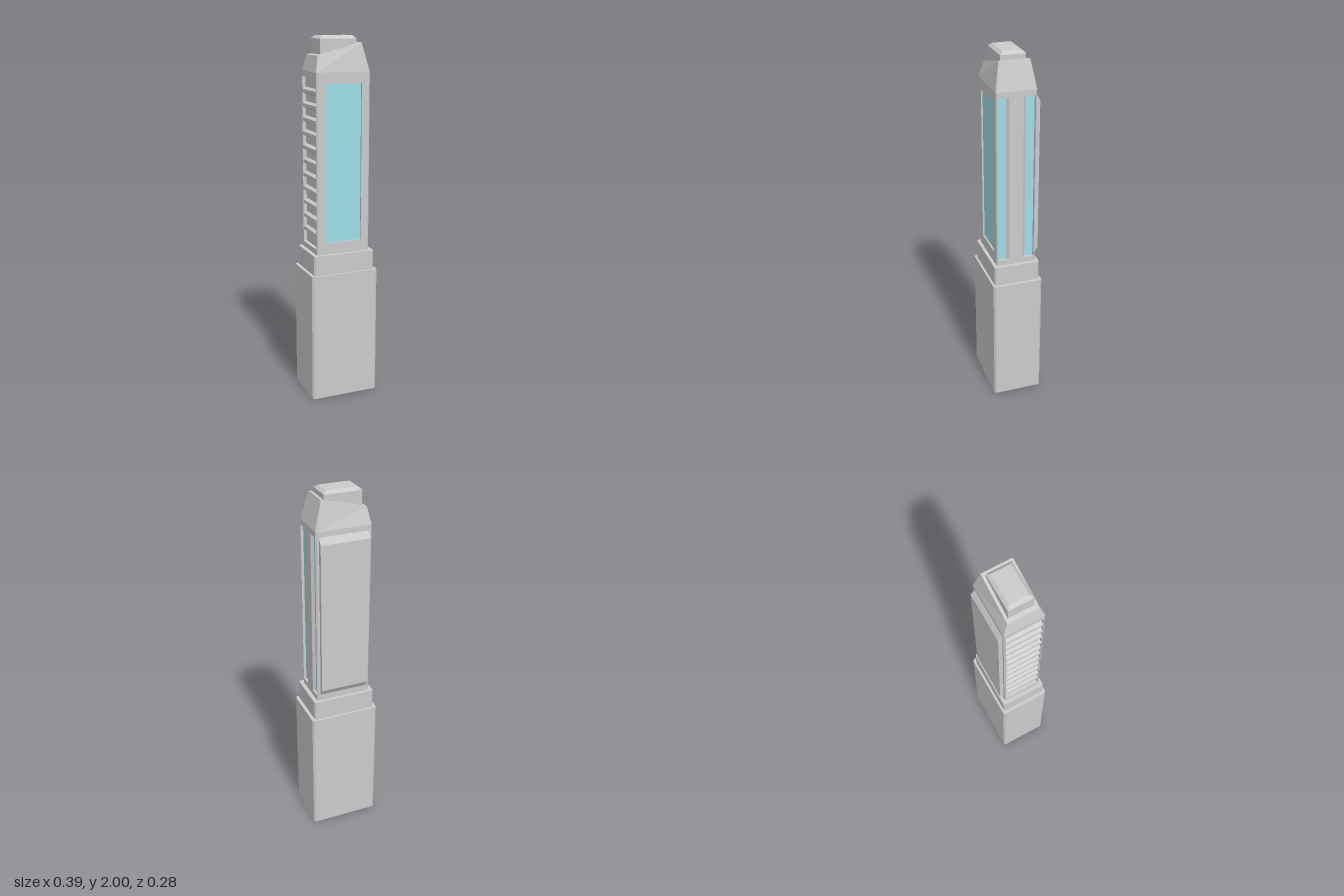
import * as THREE from 'three';

const grey = new THREE.MeshStandardMaterial({ color: 0xcccccc, flatShading: true, side: THREE.DoubleSide });
const glass = new THREE.MeshStandardMaterial({ color: 0x9edee8, flatShading: true, side: THREE.DoubleSide });

// Rectangle with chamfered corners, counter-clockwise seen from above; y is a number or a rule of x.
function ring(x0, x1, z0, z1, c, y) {
  const pts = [
    [x0, z1 - c], [x0 + c, z1], [x1 - c, z1], [x1, z1 - c],
    [x1, z0 + c], [x1 - c, z0], [x0 + c, z0], [x0, z0 + c],
  ];
  return pts.map(([x, z]) => new THREE.Vector3(x, typeof y === 'function' ? y(x) : y, z));
}

// Walls between successive rings, with a lid on the last one.
function loft(rings) {
  const out = [];
  const tri = (...v) => v.forEach((p) => out.push(p.x, p.y, p.z));
  for (let r = 0; r < rings.length - 1; r++) {
    const a = rings[r], b = rings[r + 1], n = a.length;
    for (let i = 0; i < n; i++) {
      const j = (i + 1) % n;
      tri(a[i], a[j], b[j]);
      tri(a[i], b[j], b[i]);
    }
  }
  const top = rings[rings.length - 1];
  for (let i = 1; i < top.length - 1; i++) tri(top[0], top[i], top[i + 1]);
  const g = new THREE.BufferGeometry();
  g.setAttribute('position', new THREE.Float32BufferAttribute(out, 3));
  g.computeVertexNormals();
  return g;
}

function extrude(points, depth) {
  const shape = new THREE.Shape(points.map(([x, y]) => new THREE.Vector2(x, y)));
  return new THREE.ExtrudeGeometry(shape, { depth, bevelEnabled: false });
}

export function createModel() {
  const model = new THREE.Group();
  const add = (name, geometry, material = grey) => {
    const mesh = new THREE.Mesh(geometry, material);
    mesh.name = name;
    model.add(mesh);
    return mesh;
  };
  const block = (name, hx, hz, c, y0, y1) =>
    add(name, loft([ring(-hx, hx, -hz, hz, c, y0), ring(-hx, hx, -hz, hz, c, y1)]));

  // Stepped base, open underneath
  block('base', 0.194, 0.14, 0.01, 0, 0.725);
  block('collar', 0.176, 0.128, 0.009, 0.725, 0.835);

  // Shaft: plain bands below and above a section with recesses
  const X = 0.153, Z = 0.11, C = 0.007, low = 0.865, high = 1.785;
  block('lowerBand', X, Z, C, 0.835, low);
  block('upperBand', X, Z, C, high, 1.815);

  const d = 0.015, f = 0.01;
  const section = [
    [-X + C, Z], [-0.104, Z], [-0.104, Z - f], [0.104, Z - f], [0.104, Z], [X - C, Z],
    [X, Z - C], [X, 0.102], [X - d, 0.1], [X - d, 0.053], [X, 0.038],
    [X, -0.038], [X - d, -0.053], [X - d, -0.1], [X, -0.102], [X, -Z + C],
    [X - C, -Z], [-X + C, -Z], [-X, -Z + C],
    [-X, -0.1], [-X + 0.02, -0.1], [-X + 0.02, 0.1], [-X, 0.1], [-X, Z - C],
  ];
  add('shaft', extrude(section.map(([x, z]) => [x, -z]), high - low).rotateX(-Math.PI / 2).translate(0, low, 0));

  // Front window, shorter than the side recesses
  for (const [y0, y1] of [[low, 0.9], [1.755, high]]) {
    add('frontWindowFrame', new THREE.BoxGeometry(0.208, y1 - y0, f)).position.set(0, (y0 + y1) / 2, Z - f / 2);
  }
  const mid = (low + high) / 2;
  add('frontWindow', new THREE.PlaneGeometry(0.208, 0.855), glass).position.set(0, 1.3275, Z - f + 0.001);

  // Two tall windows on the left side
  for (const s of [-1, 1]) {
    const pane = add('leftWindow', new THREE.PlaneGeometry(0.047, high - low), glass);
    pane.rotation.y = Math.PI / 2;
    pane.position.set(X - d + 0.001, mid, s * 0.0765);
  }

  // Right side: full window crossed by sloped floor ribs
  const wide = add('rightWindow', new THREE.PlaneGeometry(0.2, high - low), glass);
  wide.rotation.y = -Math.PI / 2;
  wide.position.set(-X + 0.021, mid, 0);
  const rows = 12, pitch = (high - low) / rows;
  const rib = extrude([[-X + 0.02, -0.02], [-X + 0.02, 0.02], [-X + 0.002, 0.009], [-X + 0.002, -0.009]], 0.2);
  for (let i = 1; i < rows; i++) add('floorRib', rib).position.set(0, low + i * pitch, -0.1);

  // Raised back panel with sloped ends
  add('backPanel', extrude([[0.108, 0.868], [0.132, 0.905], [0.132, 1.75], [0.108, 1.788]], 0.27)
    .rotateY(Math.PI / 2).translate(-0.135, 0, 0));

  // Tapered crown with a slanted roof
  const roof = (x) => 1.9 + (x + 0.135) * (0.065 / 0.248);
  add('crown', loft([ring(-X, X, -Z, Z, C, 1.815), ring(-0.135, 0.113, -0.083, 0.083, 0.001, roof)]));

  // Rooftop block with a bevelled top
  add('rooftopBlock', loft([
    ring(-0.114, 0.092, -0.069, 0.067, 0.0005, (x) => roof(x) - 0.005),
    ring(-0.114, 0.092, -0.069, 0.067, 0.0005, 1.985),
    ring(-0.097, 0.075, -0.052, 0.049, 0.0005, 2),
  ]));

  return model;
}
